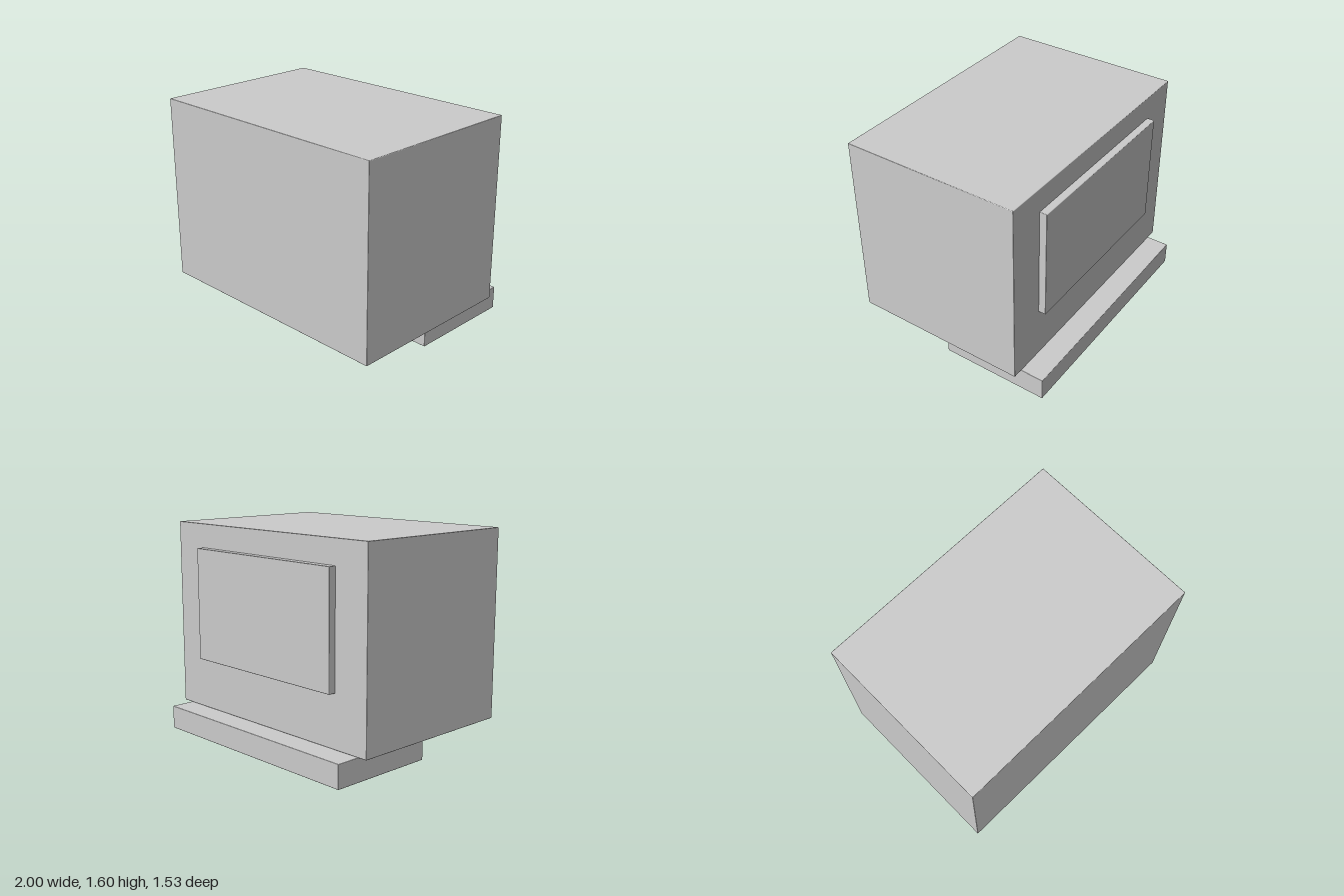
import * as THREE from 'three';
import { RoundedBoxGeometry } from 'three/addons/geometries/RoundedBoxGeometry.js';

const material = new THREE.MeshStandardMaterial({ color: 0xcccccc });

// Box with barely softened edges, given by its extents on y and z and centred on x
function block(name, width, [y0, y1], [z0, z1]) {
  const geometry = new RoundedBoxGeometry(width, y1 - y0, z1 - z0, 2, 0.005);
  const mesh = new THREE.Mesh(geometry, material);
  mesh.name = name;
  mesh.position.set(0, (y0 + y1) / 2, (z0 + z1) / 2);
  return mesh;
}

export function createModel() {
  const model = new THREE.Group();
  model.name = 'boxOnPlinth';

  // Main cabinet
  model.add(block('cabinet', 2, [0.178, 1.6], [-0.59, 0.765]));

  // Raised panel on the rear face, set slightly into the cabinet
  model.add(block('rearPanel', 1.42, [0.57, 1.42], [-0.645, -0.58]));

  // Base slab under the rear half, projecting backwards
  model.add(block('base', 1.84, [0, 0.176], [-0.765, 0.07]));

  return model;
}
